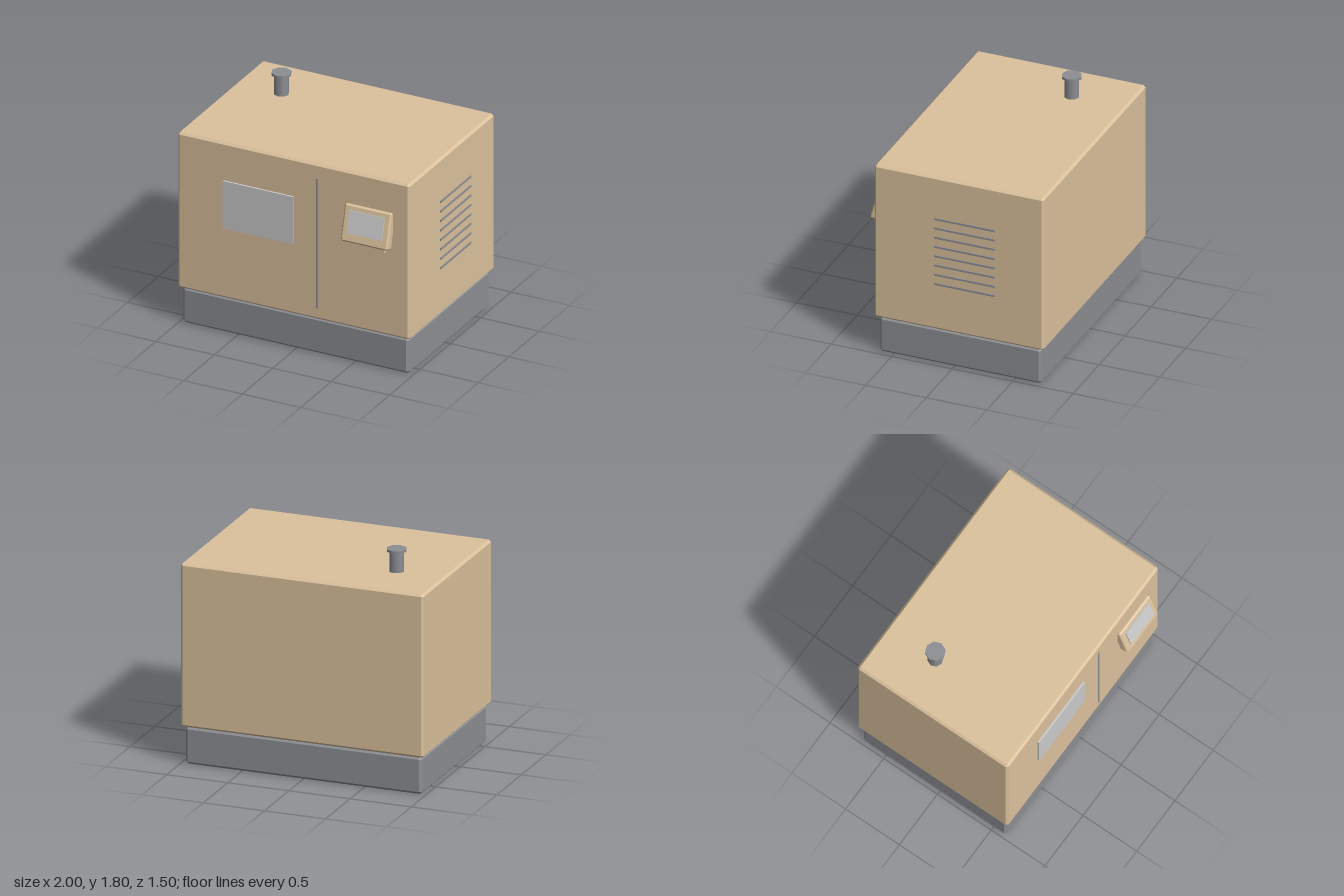
import * as THREE from 'three';
import { ConvexGeometry } from 'three/addons/geometries/ConvexGeometry.js';

const tan = new THREE.MeshStandardMaterial({ color: 0xdcc29d });
const dark = new THREE.MeshStandardMaterial({ color: 0x8d8f94 });
const grey = new THREE.MeshStandardMaterial({ color: 0xcccccc });

// Box with every edge chamfered by c
function chamferBox(w, h, d, c) {
  const points = [];
  for (const x of [-1, 1]) for (const y of [-1, 1]) for (const z of [-1, 1]) {
    for (let axis = 0; axis < 3; axis++) {
      const inset = [c, c, c];
      inset[axis] = 0;
      points.push(new THREE.Vector3(
        x * (w / 2 - inset[0]), y * (h / 2 - inset[1]), z * (d / 2 - inset[2])));
    }
  }
  return new ConvexGeometry(points);
}

function add(parent, name, geometry, material, x, y, z) {
  const mesh = new THREE.Mesh(geometry, material);
  mesh.name = name;
  mesh.position.set(x, y, z);
  parent.add(mesh);
  return mesh;
}

export function createModel() {
  const model = new THREE.Group();
  model.name = 'machineCabinet';
  const cx = -0.004;

  // Plinth and cabinet
  add(model, 'base', chamferBox(1.935, 0.3, 1.335, 0.02), dark, cx, 0.15, -0.05);
  add(model, 'cabinet', chamferBox(1.988, 1.315, 1.4, 0.018), tan, cx, 0.9625, -0.05);

  // Front window and door seam
  add(model, 'window', new THREE.BoxGeometry(0.6, 0.4, 0.03), grey, -0.302, 1.102, 0.65);
  add(model, 'doorSeam', chamferBox(0.02, 1.1, 0.02, 0.005), dark, 0.198, 0.95, 0.646);

  // Vent slats on the left side
  const vents = new THREE.Group();
  vents.name = 'vents';
  for (let i = 0; i < 8; i++) {
    add(vents, 'ventSlat', new THREE.BoxGeometry(0.02, 0.015, 0.5), dark, 0.988, 0.7 + i * 0.08, -0.1);
  }
  model.add(vents);

  // Exhaust pipe with cap
  add(model, 'exhaustPipe', new THREE.CylinderGeometry(0.059, 0.059, 0.2, 8), dark, -0.602, 1.69, -0.302);
  add(model, 'exhaustCap', new THREE.CylinderGeometry(0.079, 0.079, 0.02, 8), dark, -0.602, 1.793, -0.302);

  // Tilted control panel on a bracket
  add(model, 'panelBracket', new THREE.BoxGeometry(0.3, 0.1, 0.07), tan, 0.647, 1.07, 0.663);
  const panel = new THREE.Group();
  panel.name = 'controlPanel';
  panel.position.set(0.647, 1.204, 0.673);
  panel.rotation.x = -0.262;
  add(panel, 'panelHousing', chamferBox(0.4, 0.295, 0.08, 0.012), tan, 0, 0, 0);
  add(panel, 'panelScreen', new THREE.BoxGeometry(0.3, 0.18, 0.02), grey, 0, 0.013, 0.04);
  model.add(panel);

  return model;
}
